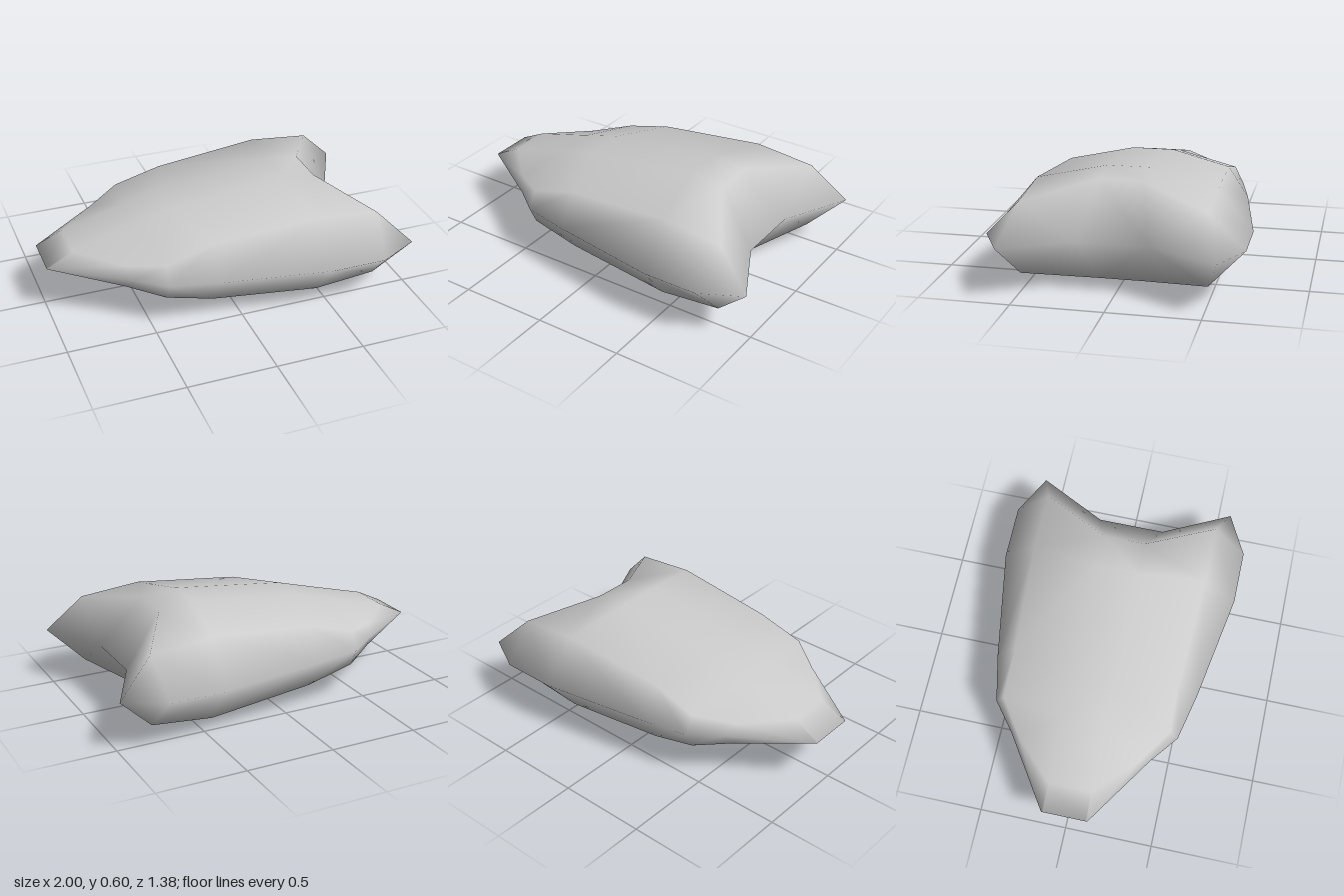
import * as THREE from 'three';
import { mergeVertices } from 'three/addons/utils/BufferGeometryUtils.js';

const MID = 0.305; // height of the rim, the plane of symmetry

// Stations from nose to notched tail: [x, height above rim, z] of rim, shoulder and ridge
const stations = [
  [[-1, 0, 0.13], [-1, 0, 0.13], [-1, 0, 0.12]],
  [[-0.59, 0, 0.4], [-0.62, 0.065, 0.345], [-0.85, 0.075, 0.12]],
  [[-0.43, 0, 0.525], [-0.43, 0.1, 0.475], [-0.5, 0.168, 0.12]],
  [[-0.16, 0, 0.585], [-0.16, 0.175, 0.47], [-0.29, 0.225, 0.12]],
  [[0.46, 0, 0.69], [0.45, 0.23, 0.5], [0.38, 0.3, 0.12]],
  [[0.77, 0, 0.69], [0.8, 0.197, 0.5], [0.58, 0.28, 0.12]],
  [[1, 0, 0.57], [1, 0, 0.57], [0.81, 0, 0.19]],
];

// Full row across the body, from the -z rim to the +z rim
function row([rim, shoulder, ridge]) {
  const half = [rim, shoulder, ridge];
  return [...half.map(([x, h, z]) => [x, h, -z]), ...half.slice().reverse()];
}

function bodyGeometry() {
  const rows = stations.map(row);
  const positions = [];
  const addTriangle = (p, q, r) => {
    const same = (u, v) => u.every((n, k) => n === v[k]);
    if (same(p, q) || same(q, r) || same(r, p)) return;
    // upper face, then its mirror image below with reversed winding
    for (const [x, h, z] of [p, q, r]) positions.push(x, MID + h, z);
    for (const [x, h, z] of [p, r, q]) positions.push(x, MID - h, z);
  };
  for (let i = 0; i < rows.length - 1; i++) {
    for (let j = 0; j < 5; j++) {
      const a = rows[i][j], b = rows[i][j + 1];
      const c = rows[i + 1][j + 1], d = rows[i + 1][j];
      if (j >= 2) {
        addTriangle(a, b, d);
        addTriangle(b, c, d);
      } else {
        addTriangle(a, b, c);
        addTriangle(a, c, d);
      }
    }
  }
  const soup = new THREE.BufferGeometry();
  soup.setAttribute('position', new THREE.Float32BufferAttribute(positions, 3));
  const geometry = mergeVertices(soup, 1e-4); // shared rim gives smooth shading
  geometry.computeVertexNormals();
  return geometry;
}

export function createModel() {
  const group = new THREE.Group();
  const body = new THREE.Mesh(
    bodyGeometry(),
    new THREE.MeshStandardMaterial({ color: 0xcccccc })
  );
  body.name = 'body';
  group.add(body);
  return group;
}
